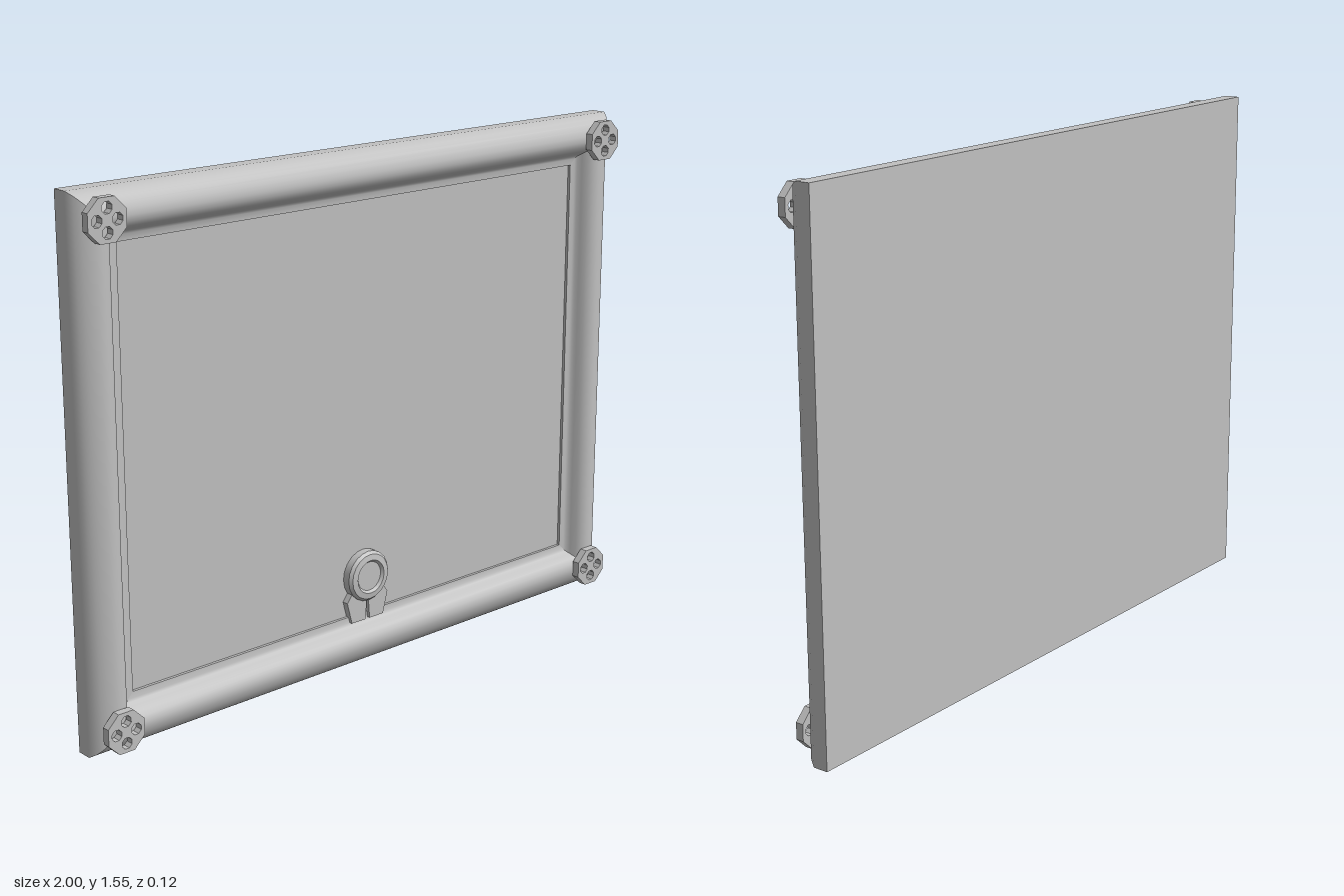
import * as THREE from 'three';
import { toCreasedNormals } from 'three/addons/utils/BufferGeometryUtils.js';

const W = 2, H = 1.55, BACK = -0.06, PANEL = -0.022;

// Moulding profile: [distance in from the outer edge, z]
const PROFILE = [
  [0, PANEL], [0, -0.014], [0.012, 0.006], [0.025, 0.018], [0.04, 0.027], [0.058, 0.034],
  [0.075, 0.036], [0.092, 0.031], [0.106, 0.02], [0.116, 0.004], [0.124, -0.008],
  [0.132, -0.012], [0.15, -0.013], [0.15, PANEL],
];

// One mitred rail along the bottom of a rectangle of the given length and height
function railGeometry(length, height) {
  const pos = [], index = [];
  PROFILE.forEach(([d, z], i) => {
    pos.push(-length / 2 + d, -height / 2 + d, z, length / 2 - d, -height / 2 + d, z);
    if (i > 0) {
      const a = 2 * (i - 1);
      index.push(a, a + 1, a + 3, a, a + 3, a + 2);
    }
  });
  const g = new THREE.BufferGeometry();
  g.setAttribute('position', new THREE.Float32BufferAttribute(pos, 3));
  g.setIndex(index);
  return toCreasedNormals(g, 0.7);
}

function polygon(path, sides, r, cx, cy, turn) {
  const pts = [];
  for (let i = 0; i < sides; i++) {
    const a = turn + (i / sides) * Math.PI * 2;
    pts.push(new THREE.Vector2(cx + r * Math.cos(a), cy + r * Math.sin(a)));
  }
  return path.setFromPoints(pts);
}

export function createModel() {
  const model = new THREE.Group();
  model.name = 'pictureFrame';
  const grey = new THREE.MeshStandardMaterial({ color: 0xc0c0c0 });
  grey.name = 'grey';

  function add(name, geometry, x, y, z, parent = model) {
    const mesh = new THREE.Mesh(geometry, grey);
    mesh.name = name;
    mesh.position.set(x, y, z);
    parent.add(mesh);
    return mesh;
  }

  // Backing board, whose front face is the picture panel
  add('backingPanel', new THREE.BoxGeometry(W, H, PANEL - BACK), 0, H / 2, (PANEL + BACK) / 2);

  // Four mitred rails
  ['bottomRail', 'leftRail', 'topRail', 'rightRail'].forEach((name, i) => {
    const g = i % 2 ? railGeometry(H, W) : railGeometry(W, H);
    add(name, g, 0, H / 2, 0).rotation.z = (i * Math.PI) / 2;
  });

  // Octagonal corner rosettes with four round holes
  const rosette = polygon(new THREE.Shape(), 8, 0.064, 0, 0, Math.PI / 8);
  for (let i = 0; i < 4; i++) {
    const a = (i * Math.PI) / 2;
    rosette.holes.push(
      polygon(new THREE.Path(), 8, 0.017, 0.032 * Math.cos(a), 0.032 * Math.sin(a), Math.PI / 8));
  }
  const rosetteGeometry = new THREE.ExtrudeGeometry(rosette, { depth: 0.024, bevelEnabled: false });
  for (const x of [-0.925, 0.925]) {
    for (const y of [0.078, H - 0.073]) add('cornerRosette', rosetteGeometry, x, y, 0.036);
  }

  // Medal on the lower edge of the panel
  const medal = new THREE.Group();
  medal.name = 'medal';
  medal.position.set(0, 0.27, PANEL);
  model.add(medal);
  const disc = [[0.078, 0], [0.078, 0.024], [0.07, 0.033], [0.052, 0.036], [0.045, 0.028], [0, 0.028]]
    .map(([r, h]) => new THREE.Vector2(r, h));
  add('medalDisc', toCreasedNormals(new THREE.LatheGeometry(disc, 20), 0.5), 0, 0, 0, medal)
    .rotation.x = Math.PI / 2;

  // Two ribbon tails spreading below the medal
  for (const s of [-1, 1]) {
    const tail = new THREE.Shape([[0, -0.03], [0.008, -0.138], [0.062, -0.138], [0.08, -0.07], [0.05, -0.03]]
      .map(([x, y]) => new THREE.Vector2(s * x, y)));
    add('ribbonTail', new THREE.ExtrudeGeometry(tail, { depth: 0.02, bevelEnabled: false }), 0, 0, 0, medal);
  }

  return model;
}
